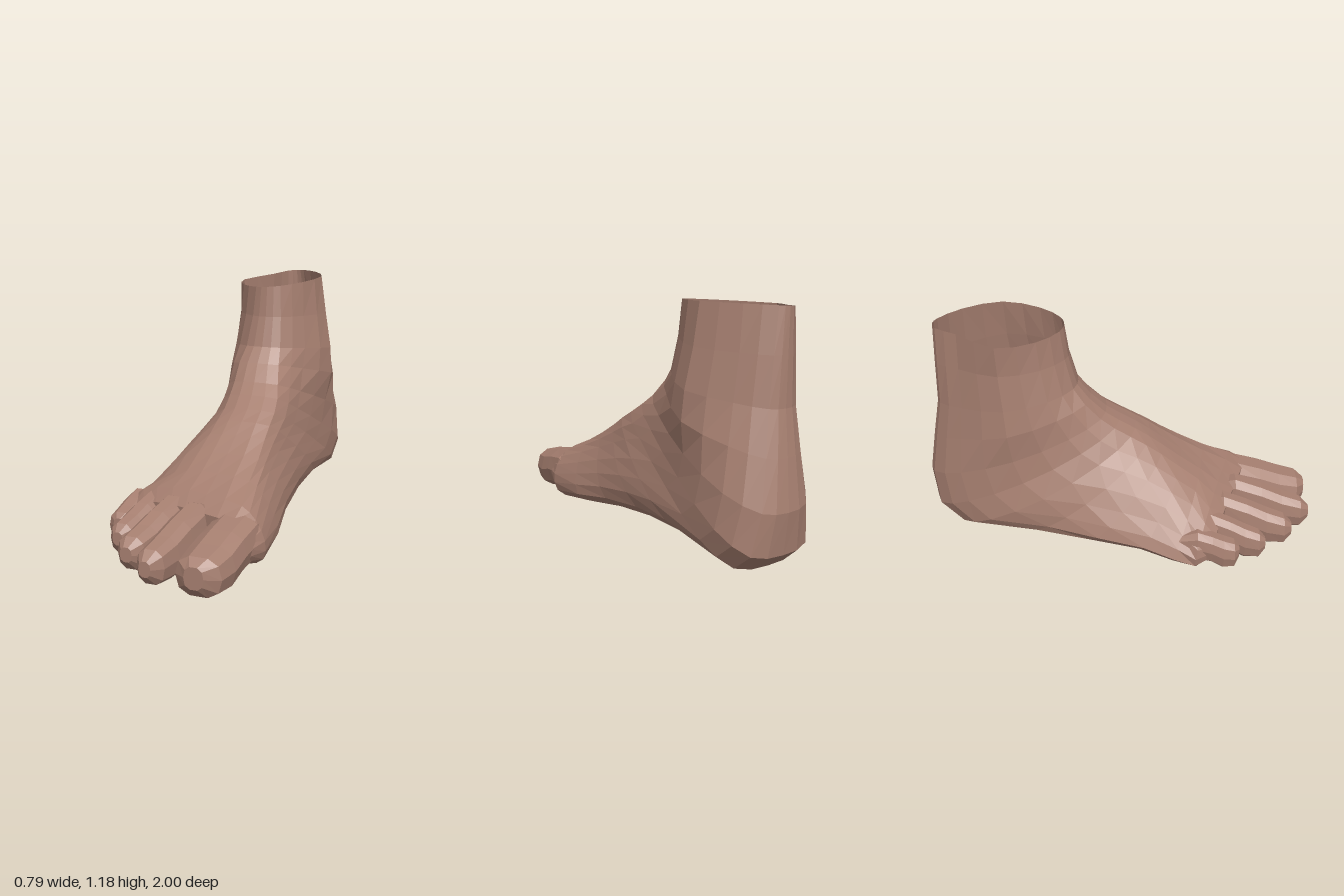
import * as THREE from 'three';

const skin = new THREE.MeshStandardMaterial({ color: 0xa67f70, flatShading: true, side: THREE.DoubleSide });

// Skin a list of equal-length closed rings; the last ring gets a fan cap.
function loft(name, rings) {
  const n = rings[0].length, pos = [], index = [];
  rings.forEach(r => r.forEach(p => pos.push(p.x, p.y, p.z)));
  for (let i = 0; i < rings.length - 1; i++) {
    for (let j = 0; j < n; j++) {
      const a = i * n + j, b = i * n + (j + 1) % n;
      index.push(a, a + n, b, b, a + n, b + n);
    }
  }
  const last = rings[rings.length - 1], start = (rings.length - 1) * n;
  const c = last.reduce((s, p) => s.add(p), new THREE.Vector3()).divideScalar(n);
  pos.push(c.x, c.y, c.z);
  for (let j = 0; j < n; j++) index.push(rings.length * n, start + (j + 1) % n, start + j);
  const g = new THREE.BufferGeometry();
  g.setAttribute('position', new THREE.Float32BufferAttribute(pos, 3));
  g.setIndex(index);
  g.computeVertexNormals();
  const mesh = new THREE.Mesh(g, skin);
  mesh.name = name;
  return mesh;
}

// Sections fan from the level ankle opening to the upright toe line.
// Each row: instep z, y, then heel/sole z, y, then sideways slant of z.
const spine = [
  [-0.27, 1.15, -0.90, 1.17, 0], [-0.25, 1.00, -0.91, 0.97, 0],
  [-0.21, 0.85, -0.92, 0.75, 0], [-0.15, 0.775, -0.96, 0.55, 0],
  [-0.07, 0.695, -1.00, 0.33, 0], [0.00, 0.645, -0.98, 0.14, 0],
  [0.08, 0.595, -0.86, 0.05, 0], [0.15, 0.55, -0.50, 0.065, 0],
  [0.22, 0.50, -0.20, 0.065, 0], [0.32, 0.435, 0.10, 0.05, 0.05],
  [0.44, 0.37, 0.33, 0.025, 0.15], [0.57, 0.305, 0.54, 0.0, 0.30],
  [0.66, 0.25, 0.65, 0.05, 0.36],
];
// Side limits in x at five levels between instep and sole.
const levels = [0.03, 0.2, 0.5, 0.8, 0.97];
const outer = [
  [0.05, -0.055, -0.115, 0.0, 0.05], [0.04, -0.06, -0.105, -0.01, 0.05],
  [0.02, -0.08, -0.12, -0.03, 0.05], [0.0, -0.09, -0.135, -0.04, 0.05],
  [0.0, -0.09, -0.125, -0.06, 0.045], [0.0, -0.10, -0.14, -0.085, 0.02],
  [0.0, -0.115, -0.18, -0.135, -0.02], [-0.01, -0.13, -0.205, -0.20, -0.11],
  [-0.02, -0.15, -0.24, -0.28, -0.17], [-0.04, -0.18, -0.27, -0.33, -0.22],
  [-0.06, -0.20, -0.32, -0.38, -0.28], [-0.10, -0.28, -0.38, -0.39, -0.30],
  [-0.08, -0.25, -0.35, -0.36, -0.26],
];
const inner = [
  [0.18, 0.27, 0.32, 0.24, 0.14], [0.19, 0.28, 0.35, 0.26, 0.17],
  [0.20, 0.30, 0.385, 0.29, 0.20], [0.21, 0.30, 0.395, 0.33, 0.24],
  [0.23, 0.305, 0.37, 0.37, 0.29], [0.25, 0.31, 0.365, 0.39, 0.33],
  [0.26, 0.315, 0.36, 0.38, 0.32], [0.26, 0.315, 0.36, 0.355, 0.24],
  [0.26, 0.31, 0.36, 0.345, 0.22], [0.265, 0.31, 0.36, 0.355, 0.23],
  [0.265, 0.325, 0.375, 0.385, 0.27], [0.28, 0.35, 0.395, 0.385, 0.29],
  [0.265, 0.325, 0.365, 0.35, 0.27],
];

function footRing([dz, dy, sz, sy, slant], i) {
  const at = (x, t) => new THREE.Vector3(
    x,
    dy + (sy - dy) * t + (i === 0 ? (x - 0.1) * 0.08 : 0),
    dz + (sz - dz) * t + slant * (x - 0.2));
  const L = outer[i], R = inner[i];
  const pts = [at((L[0] + R[0]) / 2, 0)];
  levels.forEach((t, k) => pts.push(at(R[k], t)));
  pts.push(at((L[4] + R[4]) / 2, 1));
  for (let k = 4; k >= 0; k--) pts.push(at(L[k], levels[k]));
  const curve = new THREE.CatmullRomCurve3(pts, true, 'centripetal');
  return Array.from({ length: 24 }, (_, k) => curve.getPoint(k / 24));
}

// Toe: a ten-sided loft with a sunken root, narrow neck, full pad and blunt tip.
// Stations: position along the toe, width, height from knuckle to tip, underside.
const stations = [
  [0, 0.7, 0.7, 0.09], [0.3, 0.92, 0.05, 0.06], [0.55, 0.96, 0.4, 0.05],
  [0.74, 1.0, 0.75, 0.02], [0.92, 0.92, 1.0, 0.03], [1, 0.4, 1.4, 0.08],
];
function toe({ name, base, tip, width, top, drop = 0 }) {
  const rings = stations.map(([s, w, f, under]) => {
    const x = THREE.MathUtils.lerp(base[0], tip[0], s);
    const z = THREE.MathUtils.lerp(base[1], tip[1], s);
    const wide = THREE.MathUtils.lerp(width[0], width[1], s);
    const hi = THREE.MathUtils.lerp(top[0], top[1], f), lo = under - drop;
    return Array.from({ length: 10 }, (_, k) => {
      const a = (k + 0.5) / 10 * Math.PI * 2;
      const round = v => Math.sign(v) * Math.pow(Math.abs(v), 0.8);
      return new THREE.Vector3(
        x + round(Math.sin(a)) * w * wide / 2,
        (hi + lo) / 2 + round(Math.cos(a)) * (hi - lo) / 2,
        z);
    });
  });
  return loft(name, rings);
}

const toes = [
  { name: 'bigToe', base: [0.285, 0.46], tip: [0.21, 1.0], width: [0.27, 0.225], top: [0.275, 0.2], drop: 0.015 },
  { name: 'secondToe', base: [0.095, 0.44], tip: [-0.015, 0.99], width: [0.17, 0.14], top: [0.295, 0.195] },
  { name: 'thirdToe', base: [-0.04, 0.38], tip: [-0.155, 0.88], width: [0.155, 0.145], top: [0.285, 0.19] },
  { name: 'fourthToe', base: [-0.17, 0.33], tip: [-0.27, 0.73], width: [0.14, 0.125], top: [0.265, 0.18] },
  { name: 'littleToe', base: [-0.3, 0.29], tip: [-0.335, 0.59], width: [0.13, 0.13], top: [0.235, 0.175] },
];

export function createModel() {
  const group = new THREE.Group();
  group.name = 'foot';
  group.add(loft('ankleAndFoot', spine.map(footRing)));
  toes.forEach(t => group.add(toe(t)));
  return group;
}
